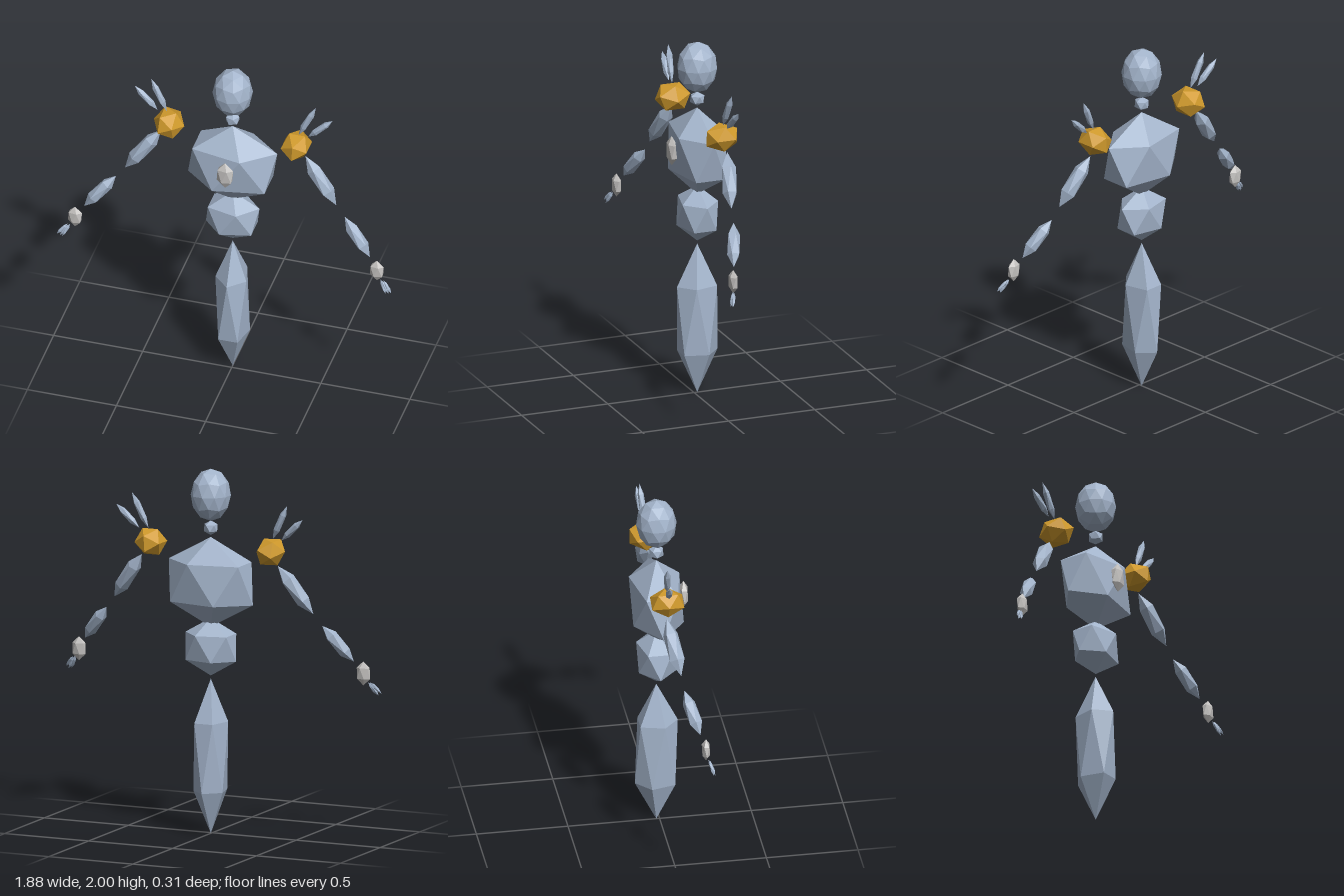
import * as THREE from 'three';

const stone = new THREE.MeshStandardMaterial({ color: 0xa4b5cc });
stone.name = 'blue grey stone';
const gold = new THREE.MeshStandardMaterial({ color: 0xd09a2c });
gold.name = 'gold';
const crystal = new THREE.MeshStandardMaterial({ color: 0xc6c4c2 });
crystal.name = 'pale crystal';

const UP = new THREE.Vector3(0, 1, 0);
const BODY_Z = -0.018;

// Faceted icosahedron standing on one vertex, with one upper-ring corner towards +x
function rock(name, material, center, radii, detail = 0, spin = 0) {
  const geometry = new THREE.IcosahedronGeometry(1, detail);
  geometry.rotateZ(-Math.atan(2 / (1 + Math.sqrt(5))));
  geometry.rotateY(spin);
  geometry.scale(...radii);
  geometry.computeVertexNormals(); // unshared corners, so every face is flat
  const mesh = new THREE.Mesh(geometry, material);
  mesh.name = name;
  mesh.position.set(...center);
  return mesh;
}

// Long rock whose poles sit at the two given points
function shard(name, material, bottom, top, rx, rz) {
  const a = new THREE.Vector3(...bottom);
  const b = new THREE.Vector3(...top);
  const axis = b.clone().sub(a);
  const middle = a.add(b).multiplyScalar(0.5);
  const mesh = rock(name, material, middle.toArray(), [rx, axis.length() / 2, rz]);
  mesh.quaternion.setFromUnitVectors(UP, axis.normalize());
  return mesh;
}

// Floating arm pieces; side is +1 for the left arm, -1 for the right
function createArm(side) {
  const arm = new THREE.Group();
  arm.name = side > 0 ? 'leftArm' : 'rightArm';
  const at = (x, y, z) => [side * x, y, z];

  const shoulder = rock('shoulder', gold, at(0.357, 1.573, BODY_Z), [0.087, 0.081, 0.103]);
  shoulder.rotation.z = side * Math.PI / 6;
  arm.add(shoulder);

  // Spikes above the shoulder
  arm.add(
    shard('innerSpike', stone, at(0.37, 1.645, -0.02), at(0.462, 1.836, -0.034), 0.02, 0.02),
    shard('outerSpike', stone, at(0.423, 1.642, -0.022), at(0.555, 1.767, -0.036), 0.02, 0.02)
  );

  arm.add(
    shard('upperArm', stone, at(0.593, 1.245, 0.02), at(0.405, 1.502, -0.03), 0.044, 0.047),
    shard('forearm', stone, at(0.802, 0.99, 0.09), at(0.642, 1.183, 0.028), 0.038, 0.04),
    rock('hand', crystal, at(0.847, 0.925, 0.112), [0.044, 0.066, 0.025])
  );

  // Three small fingers fanning out from the hand
  const tips = [[0.908, 0.807, 0.15], [0.923, 0.804, 0.143], [0.939, 0.815, 0.148]];
  tips.forEach((tip, i) => {
    arm.add(shard('finger' + (i + 1), stone,
      at(...tip), at(0.872 + i * 0.007, 0.876, 0.122 + (i % 2) * 0.006), 0.01, 0.01));
  });
  return arm;
}

export function createModel() {
  const model = new THREE.Group();
  model.name = 'floatingStoneFigure';

  // Stacked body
  model.add(
    rock('head', stone, [0, 1.857, BODY_Z], [0.109, 0.143, 0.111], 1),
    rock('neck', stone, [0, 1.677, BODY_Z], [0.042, 0.04, 0.044]),
    rock('chest', stone, [0, 1.38, BODY_Z], [0.28, 0.246, 0.162]),
    rock('chestGem', crystal, [0, 1.399, 0.13], [0.052, 0.084, 0.028]),
    rock('waist', stone, [0, 1.025, BODY_Z], [0.168, 0.158, 0.121]),
    rock('lowerBody', stone, [0, 0.426, BODY_Z], [0.102, 0.424, 0.131], 0, -Math.PI / 2)
  );

  for (const side of [1, -1]) model.add(createArm(side));
  return model;
}
